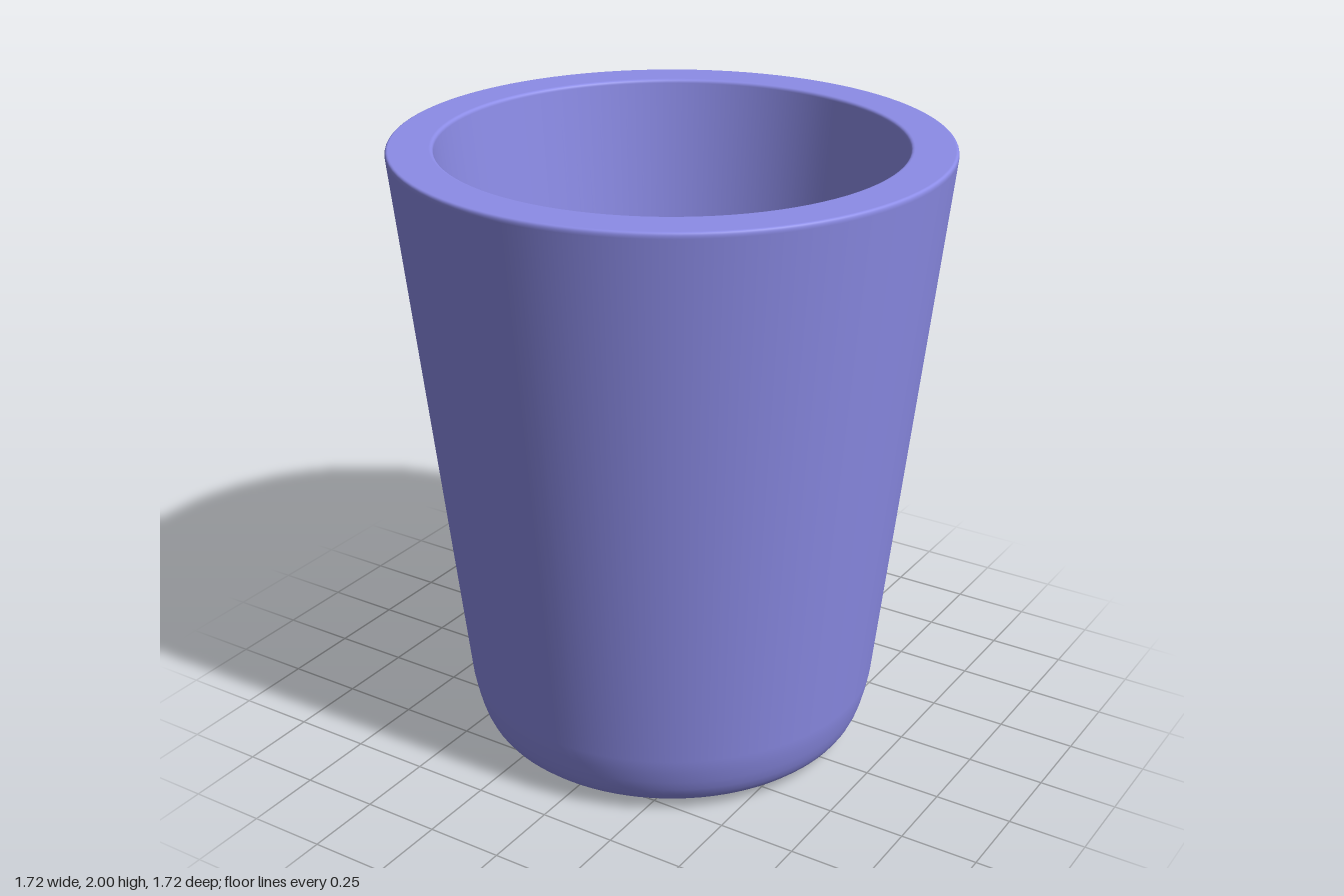
import * as THREE from 'three';

const OUTER_RIM = 0.862, INNER_RIM = 0.718, SLOPE = 0.108; // radius lost per unit of height

export function createModel() {
  const group = new THREE.Group();
  group.name = 'cup';

  const outer = (y) => OUTER_RIM - (2 - y) * SLOPE;
  const inner = (y) => INNER_RIM - (2 - y) * SLOPE;
  const bevel = 0.012;
  const profile = new THREE.Path();

  // slightly domed underside and rounded lower edge
  profile.moveTo(0, 0);
  profile.lineTo(0.3, 0.004);
  profile.lineTo(0.5, 0.013);
  profile.bezierCurveTo(0.61, 0.018, 0.638, 0.04, outer(0.22), 0.22);
  // tapered outer wall, then a flat rim with small bevels
  profile.lineTo(outer(2 - bevel * 1.5), 2 - bevel * 1.5);
  profile.quadraticCurveTo(OUTER_RIM, 2, OUTER_RIM - bevel, 2);
  profile.lineTo(INNER_RIM + bevel, 2);
  profile.quadraticCurveTo(INNER_RIM, 2, inner(2 - bevel), 2 - bevel);
  // tapered inner wall, rounded inner corner and floor
  profile.lineTo(inner(0.36), 0.36);
  profile.bezierCurveTo(0.525, 0.2, 0.5, 0.165, 0.4, 0.158);
  profile.lineTo(0, 0.148);

  const body = new THREE.Mesh(
    new THREE.LatheGeometry(profile.getPoints(10), 96),
    new THREE.MeshStandardMaterial({ color: 0x8c8ce7 })
  );
  body.name = 'cupBody';
  group.add(body);
  return group;
}
